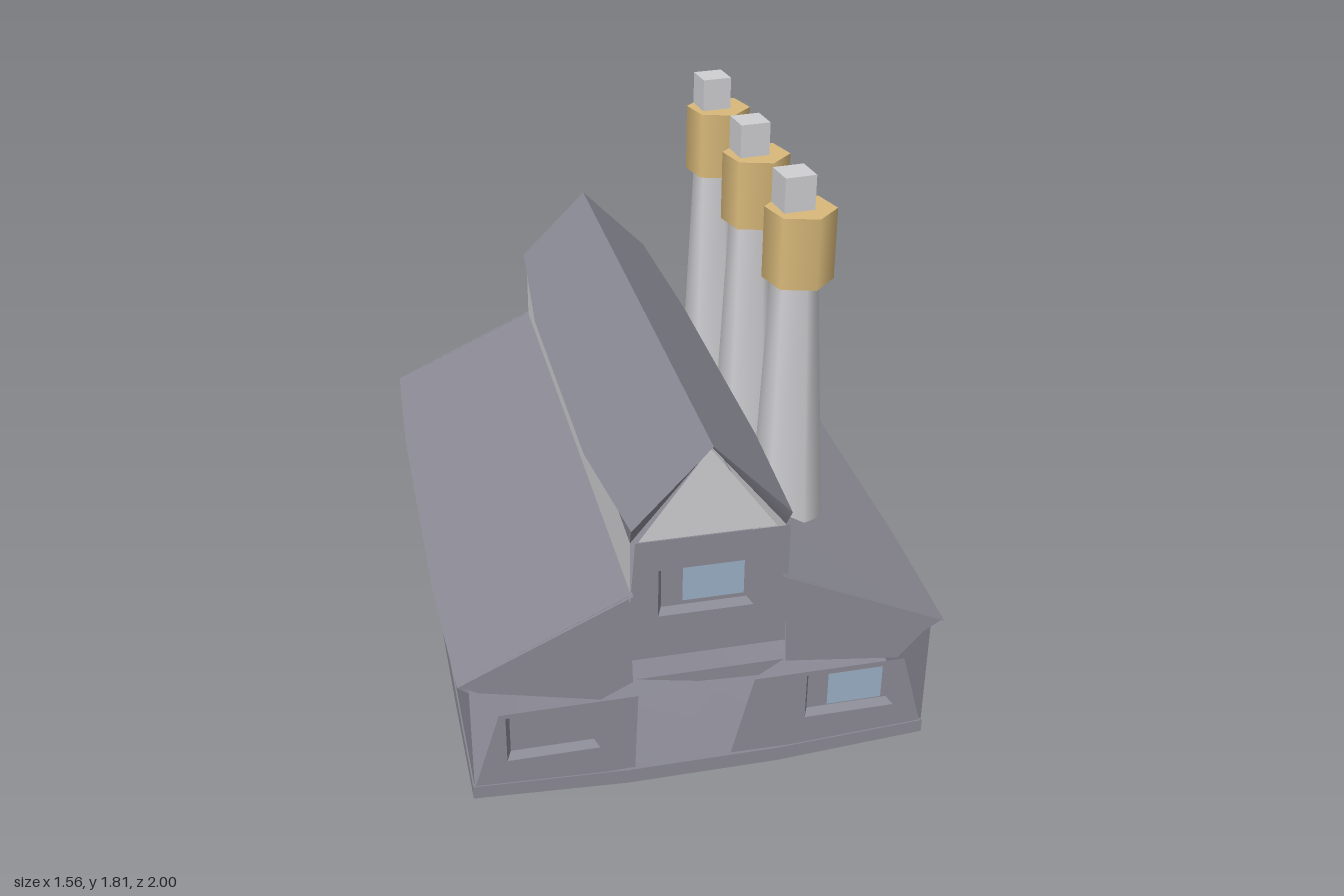
import * as THREE from 'three';
import { toCreasedNormals } from 'three/addons/utils/BufferGeometryUtils.js';

const mat = (name, color, side = THREE.FrontSide) => new THREE.MeshStandardMaterial({ name, color, side });
// The shell is made of thin open sheets, so both faces show
const slate = mat('slate grey', 0x8b8a95, THREE.DoubleSide);
const pale = mat('pale grey', 0xcfcfd3, THREE.DoubleSide);
const brass = mat('brass', 0xd9b97a);
const glass = mat('window glass', 0x9ab0c5);

function add(parent, name, geometry, material, x = 0, y = 0, z = 0) {
  const mesh = new THREE.Mesh(geometry, material);
  mesh.name = name;
  mesh.position.set(x, y, z);
  parent.add(mesh);
  return mesh;
}

// Skin between cross-sections that share a point count
function loft(sections, crease = 0.6) {
  const n = sections[0].length, index = [];
  for (let i = 0; i < sections.length - 1; i++) {
    for (let j = 0; j < n - 1; j++) {
      const a = i * n + j, b = a + n;
      index.push(a, b, b + 1, a, b + 1, a + 1);
    }
  }
  const g = new THREE.BufferGeometry();
  g.setAttribute('position', new THREE.Float32BufferAttribute(sections.flat(2), 3));
  g.setIndex(index);
  return toCreasedNormals(g, crease);
}

const outline = (pts) => pts.map(([x, y]) => new THREE.Vector2(x, y));
function plate(pts, holes = []) {
  const shape = new THREE.Shape(outline(pts));
  for (const h of holes) shape.holes.push(new THREE.Path(outline(h)));
  return new THREE.ShapeGeometry(shape);
}

const rect = ([x0, x1, y0, y1]) => [[x0, y0], [x1, y0], [x1, y1], [x0, y1]];

// Wall panel facing +z with a sunken frame and an optional pane
function windowPanel(name, panel, frame, pane) {
  const g = new THREE.Group();
  g.name = name;
  const inner = [frame[0] + 0.015, frame[1] - 0.015, frame[2] + 0.012, frame[3] - 0.012];
  const loop = (r, z) => {
    const p = rect(r).map(([x, y]) => [x, y, z]);
    return [...p, p[0]];
  };
  add(g, 'panel', plate(panel, [rect(frame)]), slate);
  add(g, 'frameRecess', loft([loop(inner, -0.03), loop(frame, 0)]), slate);
  add(g, 'recessBack', plate(rect(inner)), slate, 0, 0, -0.03);
  if (pane) add(g, 'pane', plate(rect(pane)), glass, 0, 0, -0.024);
  return g;
}

// Everything on one end of the building, facing +z
function endWall() {
  const g = new THREE.Group();
  g.name = 'endWall';
  const windows = [
    windowPanel('rightWindow', [[0.09, 0.06], [0.73, 0.05], [0.65, 0.34], [0.16, 0.34]],
      [0.33, 0.625, 0.16, 0.325], [0.41, 0.59, 0.18, 0.3]),
    windowPanel('blindWindow', [[-0.73, 0.05], [-0.22, 0.06], [-0.21, 0.34], [-0.64, 0.34]],
      [-0.62, -0.33, 0.16, 0.325]),
    windowPanel('upperWindow', [[-0.25, 0.48], [0.25, 0.48], [0.25, 0.9], [-0.22, 0.9]],
      [-0.15, 0.145, 0.63, 0.795], [-0.07, 0.12, 0.66, 0.78])
  ];
  for (const w of windows) {
    w.position.z = 0.96;
    g.add(w);
  }
  add(g, 'rightGable', plate([[0.25, 0.41], [0.62, 0.36], [0.7, 0.45], [0.76, 0.487], [0.24, 0.73]]), slate, 0, 0, 0.975);
  add(g, 'leftGable', plate([[-0.24, 0.73], [-0.76, 0.487], [-0.7, 0.45], [-0.33, 0.36], [-0.23, 0.41]]), slate, 0, 0, 0.975);
  add(g, 'lintel', plate([[-0.22, 0.41], [-0.02, 0.37], [0.17, 0.36], [0.25, 0.41]]), slate, 0, 0, 0.965);
  add(g, 'upperGable', plate([[-0.21, 0.9], [0.21, 0.9], [0, 1.19]]), pale, 0, 0, 0.955);
  add(g, 'roofRim', loft([
    [[-0.24, 0.97, 1], [0, 1.215, 0.99], [0.24, 0.97, 1]],
    [[-0.235, 0.905, 0.96], [0, 1.203, 0.97], [0.235, 0.905, 0.96]]
  ]), slate);
  return g;
}

// Long side: wall with two windows, lower roof and clerestory, facing +x
function longSide() {
  const g = new THREE.Group();
  g.name = 'longSide';
  const wall = new THREE.Group();
  wall.name = 'sideWall';
  wall.rotation.y = Math.PI / 2;
  wall.position.x = 0.725;
  g.add(wall);
  const offsets = [0, 0.48];
  const holes = offsets.map((o) => [[-0.4 + o, 0.13], [-0.03 + o, 0.095], [-0.03 + o, 0.43], [-0.4 + o, 0.35]]);
  add(wall, 'wall', plate([[-0.965, 0.08], [0.965, 0.08], [0.965, 0.47], [-0.965, 0.47]], holes), slate);
  for (const o of offsets) {
    const w = windowPanel('sideWindow', [[-0.4, 0.13], [-0.04, 0.1], [-0.085, 0.335], [-0.4, 0.335]],
      [-0.385, -0.1, 0.15, 0.32], [-0.36, -0.17, 0.18, 0.3]);
    w.position.x = o;
    wall.add(w);
  }
  const roof = [[-0.985, 0.76, 0.487, 0.46], [-0.48, 0.78, 0.48, 0.472], [0.48, 0.78, 0.48, 0.472], [0.985, 0.76, 0.487, 0.46]]
    .map(([z, x, y, lip]) => [[0.23, 0.733, z], [x, y, z], [0.725, lip, z]]);
  add(g, 'lowerRoof', loft(roof), slate);
  const clerestory = add(g, 'clerestoryWall', new THREE.PlaneGeometry(1.92, 0.25), pale, 0.235, 0.8, 0);
  clerestory.rotation.y = Math.PI / 2;
  return g;
}

function chimney(z) {
  const g = new THREE.Group();
  g.name = 'chimney';
  g.position.set(0.393, 0, z);
  const shaft = new THREE.CylinderGeometry(0.07, 0.117, 0.92, 6, 1, true);
  // Shaft leans slightly inwards
  const p = shaft.attributes.position;
  for (let i = 0; i < p.count; i++) p.setX(i, p.getX(i) - 0.012 * (p.getY(i) / 0.92 + 0.5));
  add(g, 'shaft', shaft, pale, 0, 1.08, 0).rotation.y = 0.25;
  add(g, 'collar', new THREE.CylinderGeometry(0.11, 0.11, 0.23, 6), brass, 0, 1.585, 0).rotation.y = 0.25;
  add(g, 'cap', new THREE.BoxGeometry(0.1, 0.13, 0.1), pale, -0.02, 1.745, -0.015).rotation.y = 0.1;
  return g;
}

export function createModel() {
  const model = new THREE.Group();
  model.name = 'factory';

  // Shallow base: corners lifted, edges low in the middle, floor on top
  const ring = (x, z, corner, front, side) => [
    [x, corner, -z], [x, side, -z / 2], [x, side, z / 2],
    [x, corner, z], [x / 3, front, z], [-x / 3, front, z],
    [-x, corner, z], [-x, side, z / 2], [-x, side, -z / 2],
    [-x, corner, -z], [-x / 3, front, -z], [x / 3, front, -z], [x, corner, -z]
  ];
  add(model, 'base', loft([
    ring(0, 0, 0, 0, 0), ring(0.4, 0.6, 0, 0, 0), ring(0.73, 0.965, 0.035, 0.004, 0.004),
    ring(0.73, 0.965, 0.08, 0.055, 0.08), ring(0.4, 0.6, 0.03, 0.03, 0.03), ring(0, 0, 0.03, 0.03, 0.03)
  ]), slate);

  for (const s of [1, -1]) {
    const end = endWall();
    end.scale.z = s;
    const side = longSide();
    side.scale.x = s;
    model.add(end, side);
  }

  // Upper roof, with eaves narrowing towards both ends
  const section = (zRidge, x, y, z, lip, zLip) => [
    [-0.235, lip, zLip], [-x, y, z], [0, 1.215, zRidge], [x, y, z], [0.235, lip, zLip]];
  add(model, 'upperRoof', loft([
    section(-0.99, 0.24, 0.97, -1, 0.905, -0.96), section(-0.48, 0.28, 0.93, -0.48, 0.925, -0.48),
    section(0.48, 0.28, 0.93, 0.48, 0.925, 0.48), section(0.99, 0.24, 0.97, 1, 0.905, 0.96)
  ]), slate);

  for (const z of [-0.478, 0, 0.478]) model.add(chimney(z));
  return model;
}
